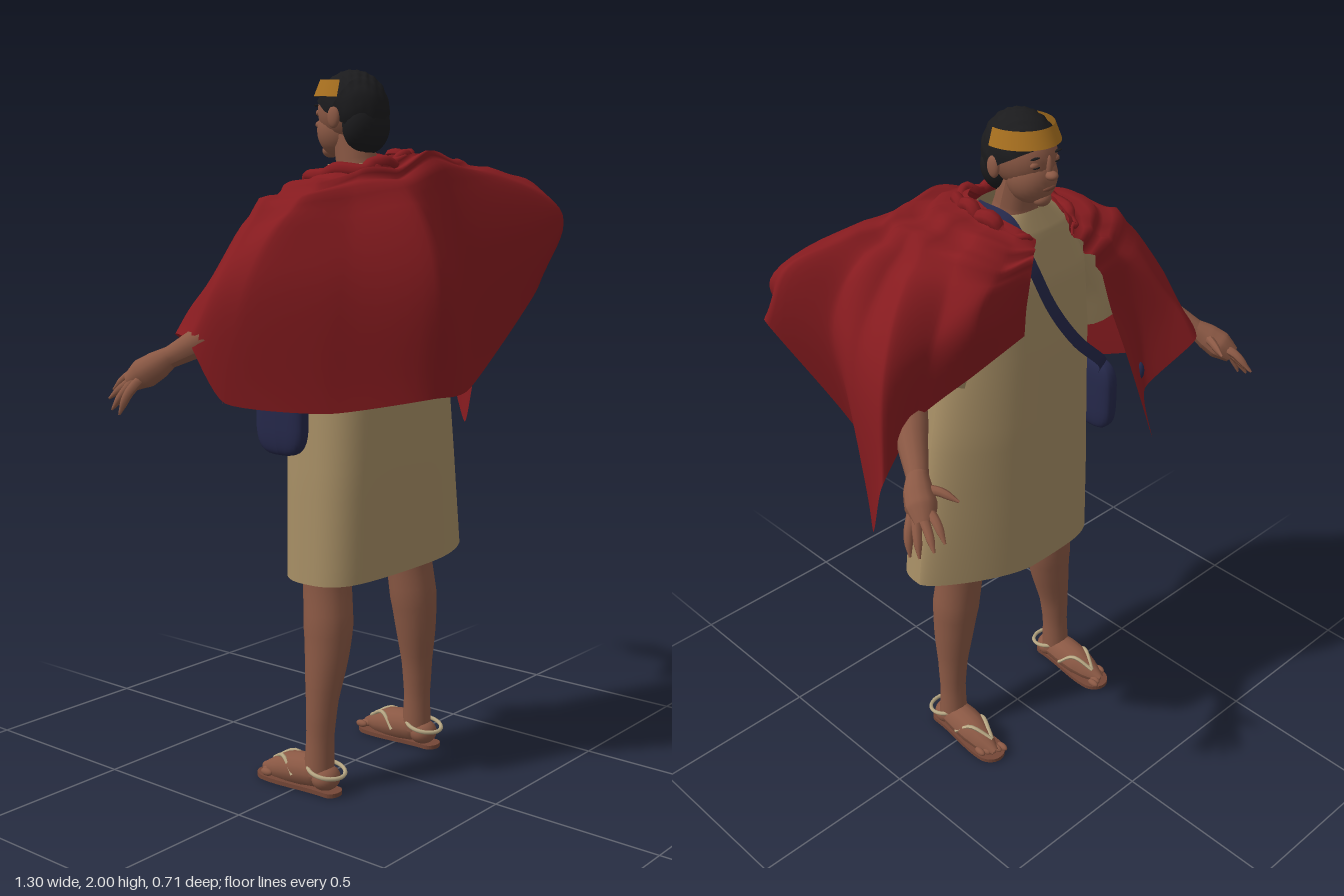
import * as THREE from 'three';

const flat = (name, color, twoSided) => {
  const m = new THREE.MeshStandardMaterial({ color });
  m.name = name;
  if (twoSided) m.side = THREE.DoubleSide;
  return m;
};
const V = (p) => new THREE.Vector3(...p);
const lerpList = (list, t) => {
  const f = Math.min(t, 0.99999) * (list.length - 1), i = Math.floor(f);
  return THREE.MathUtils.lerp(list[i], list[i + 1], f - i);
};

// Tube through points whose radius follows a list
function taperTube(points, radii, seg = 20, sides = 12) {
  const curve = new THREE.CatmullRomCurve3(points.map(V));
  const g = new THREE.TubeGeometry(curve, seg, 1, sides);
  const pos = g.attributes.position, v = new THREE.Vector3();
  for (let i = 0; i < pos.count; i++) {
    const t = Math.floor(i / (sides + 1)) / seg, c = curve.getPointAt(t);
    v.fromBufferAttribute(pos, i).sub(c).multiplyScalar(lerpList(radii, t)).add(c);
    pos.setXYZ(i, v.x, v.y, v.z);
  }
  g.computeVertexNormals();
  return g;
}

// Grid surface from a function of (u, v)
function surface(nu, nv, fn) {
  const pos = [], idx = [];
  for (let j = 0; j <= nv; j++) for (let i = 0; i <= nu; i++) pos.push(...fn(i / nu, j / nv));
  for (let j = 0; j < nv; j++) for (let i = 0; i < nu; i++) {
    const a = j * (nu + 1) + i, b = a + nu + 1;
    idx.push(a, b, a + 1, a + 1, b, b + 1);
  }
  const g = new THREE.BufferGeometry();
  g.setAttribute('position', new THREE.Float32BufferAttribute(pos, 3));
  g.setIndex(idx);
  g.computeVertexNormals();
  return g;
}

export function createModel() {
  const root = new THREE.Group();
  root.name = 'cloakedFigure';
  const skin = flat('skin', 0x8a5844), red = flat('redCloth', 0x861b1f, true);
  const tan = flat('tanCloth', 0xa58d64, true), black = flat('blackHair', 0x1b1b1d, true);
  const gold = flat('goldBand', 0xa8701f, true), navy = flat('navyLeather', 0x25284a, true);
  const brown = flat('brownSole', 0x744636), beige = flat('beigeStrap', 0xb8a884);
  const add = (name, geo, mat, parent = root) => {
    const m = new THREE.Mesh(geo, mat);
    m.name = name;
    parent.add(m);
    return m;
  };
  const ball = (name, mat, p, s, parent = root) => {
    const m = add(name, new THREE.SphereGeometry(1, 24, 18), mat, parent);
    m.position.set(...p);
    m.scale.set(...s);
    return m;
  };

  // Tunic: rings of [y, centre x, half width, centre z, half depth]
  const rings = [[0.62, 0.03, 0.312, 0.055, 0.155], [0.9, 0.02, 0.287, 0.05, 0.16], [1.1, 0.015, 0.267, 0.045, 0.162],
    [1.35, 0, 0.24, 0.04, 0.16], [1.55, 0, 0.22, 0.035, 0.15], [1.68, 0, 0.17, 0.03, 0.115], [1.74, 0, 0.085, 0.02, 0.08]];
  add('tunic', surface(72, 36, (u, v) => {
    const a = u * Math.PI * 2, c = Math.cos(a), s = Math.sin(a);
    const [y, cx, rx, cz, rz] = [0, 1, 2, 3, 4].map((k) => lerpList(rings.map((r) => r[k]), v));
    const fold = 1 + 0.02 * (1 - v) * Math.sin(a * 5 + 1);
    const p = c > 0 && s < 0 ? 0.75 + 0.65 * (1 - v) : 0.73;
    return [cx + rx * Math.sign(c) * Math.abs(c) ** p, y + 0.015 * c * (1 - v),
      cz + rz * fold * Math.sign(s) * Math.abs(s) ** p];
  }), tan);

  // Sleeves, arms, hands, legs and sandals, mirrored
  for (const side of [1, -1]) {
    const tag = side > 0 ? 'left' : 'right';
    const M = (pts) => pts.map(([x, y, z]) => [x * side, y, z]);
    add(tag + 'Sleeve', taperTube(M([[0.13, 1.62, 0.03], [0.23, 1.49, 0.03], [0.32, 1.34, 0.0]]), [0.1, 0.1, 0.095], 12, 20), tan);
    add(tag + 'Arm', taperTube(M([[0.17, 1.6, 0.03], [0.28, 1.46, 0.03], [0.385, 1.36, 0], [0.465, 1.3, -0.09], [0.54, 1.23, -0.2]]),
      [0.07, 0.06, 0.05, 0.046, 0.028]), skin);
    const hand = new THREE.Group();
    hand.name = tag + 'Hand';
    root.add(hand);
    add('palm', taperTube(M([[0.532, 1.24, -0.19], [0.56, 1.21, -0.225], [0.58, 1.185, -0.26], [0.595, 1.165, -0.285]]),
      [0.027, 0.038, 0.042, 0.026]), skin, hand);
    const fingers = [[[0.55, 1.215, -0.225], [0.528, 1.22, -0.265], [0.508, 1.205, -0.318]],
      [[0.573, 1.19, -0.27], [0.58, 1.18, -0.31], [0.592, 1.14, -0.357]],
      [[0.588, 1.18, -0.27], [0.603, 1.15, -0.31], [0.618, 1.12, -0.345]],
      [[0.6, 1.175, -0.26], [0.62, 1.14, -0.285], [0.638, 1.095, -0.312]],
      [[0.6, 1.175, -0.245], [0.627, 1.14, -0.26], [0.642, 1.085, -0.28]]];
    fingers.forEach((f, i) => add('finger' + i, taperTube(M(f), [0.015, 0.013, 0.011, 0.003], 10, 8), skin, hand));

    // Leg with knee and calf
    const ankle = side > 0 ? 0.222 : 0.235;
    add(tag + 'Leg', taperTube(M([[0.17, 0.9, 0.04], [0.185, 0.62, 0.05], [0.2, 0.44, 0.065], [ankle - 0.007, 0.25, 0.065], [ankle, 0.05, 0.06]]),
      [0.09, 0.082, 0.074, 0.068, 0.07, 0.06, 0.046, 0.039, 0.044], 28, 18), skin);
    // Foot, toes and sandal
    const foot = new THREE.Group();
    foot.name = tag + 'FootAndSandal';
    foot.position.x = side * ankle;
    root.add(foot);
    add('foot', taperTube([[0, 0.045, 0.11], [0, 0.052, 0.05], [side * 0.002, 0.044, -0.03], [side * 0.006, 0.03, -0.09], [side * 0.008, 0.022, -0.14]],
      [0.014, 0.044, 0.048, 0.046, 0.034, 0.012], 18, 14), skin, foot);
    ball('heel', skin, [0, 0.042, 0.085], [0.044, 0.036, 0.04], foot);
    for (let t = 0; t < 5; t++)
      ball('toe' + t, skin, [side * (t * 0.016 - 0.024), 0.022, -0.136 + t * 0.008], [0.01, 0.011, 0.02], foot);
    const sole = new THREE.Shape();
    sole.moveTo(-0.032, -0.11);
    sole.bezierCurveTo(-0.03, -0.145, 0.03, -0.145, 0.032, -0.11);
    sole.bezierCurveTo(0.03, -0.02, 0.055, 0.05, 0.045, 0.12);
    sole.bezierCurveTo(0.03, 0.17, -0.03, 0.17, -0.045, 0.12);
    sole.bezierCurveTo(-0.055, 0.05, -0.03, -0.02, -0.032, -0.11);
    const s = add('sandalSole', new THREE.ExtrudeGeometry(sole, { depth: 0.012, bevelEnabled: false }), brown, foot);
    s.rotation.x = -Math.PI / 2;
    s.position.x = side * 0.004;
    const ring = add('heelStrap', new THREE.TorusGeometry(0.053, 0.006, 6, 28), beige, foot);
    ring.rotation.x = Math.PI / 2 + 0.2;
    ring.position.set(0, 0.066, 0.088);
    for (const k of [-1, 1])
      add('toeStrap', taperTube([[k * 0.046, 0.04, 0], [k * 0.028, 0.08, -0.05], [-side * 0.004, 0.05, -0.112]], [0.006, 0.006], 10, 6), beige, foot);
  }

  // Cloak: four rows from neck to hem, swept from the left chest round the back
  const neck = [[0.06, 1.7, -0.13], [0.09, 1.73, -0.1], [0.11, 1.75, -0.04], [0.11, 1.76, 0], [0.11, 1.77, 0.03], [0.11, 1.77, 0.06], [0.1, 1.77, 0.08], [0.07, 1.77, 0.1],
    [0.03, 1.76, 0.11], [-0.02, 1.75, 0.12], [-0.07, 1.74, 0.1], [-0.1, 1.73, 0.05], [-0.1, 1.73, -0.02], [-0.1, 1.71, -0.07], [-0.09, 1.7, -0.1], [-0.07, 1.68, -0.12]];
  const shoulder = [[0.12, 1.68, -0.18], [0.22, 1.68, -0.16], [0.28, 1.7, -0.08], [0.32, 1.71, 0], [0.34, 1.72, 0.06], [0.35, 1.72, 0.11], [0.34, 1.73, 0.15], [0.27, 1.74, 0.2],
    [0.14, 1.75, 0.17], [-0.04, 1.7, 0.19], [-0.17, 1.69, 0.14], [-0.29, 1.645, 0.06], [-0.32, 1.635, -0.05], [-0.26, 1.62, -0.12], [-0.2, 1.6, -0.15], [-0.14, 1.58, -0.16]];
  const chest = [[0.14, 1.57, -0.18], [0.3, 1.56, -0.17], [0.4, 1.53, -0.11], [0.53, 1.5, -0.08], [0.53, 1.5, 0.03], [0.53, 1.58, 0.12], [0.58, 1.68, 0.21], [0.55, 1.6, 0.335],
    [0.2, 1.47, 0.235], [-0.06, 1.47, 0.33], [-0.27, 1.45, 0.18], [-0.44, 1.46, 0.01], [-0.475, 1.42, -0.08], [-0.39, 1.41, -0.22], [-0.27, 1.4, -0.19], [-0.18, 1.4, -0.19]];
  const hem = [[0.13, 1.46, -0.16], [0.29, 1.4, -0.14], [0.45, 1.32, -0.1], [0.585, 1.18, -0.11], [0.53, 0.95, 0.01], [0.485, 1.2, 0.1], [0.65, 1.55, 0.24], [0.46, 1.38, 0.31],
    [0.21, 1.11, 0.25], [-0.08, 1.12, 0.335], [-0.31, 1.09, 0.16], [-0.49, 1.12, -0.04], [-0.53, 1.28, -0.13], [-0.43, 1.28, -0.28], [-0.29, 1.15, -0.22], [-0.22, 1.06, -0.315]];
  const rows = [neck, shoulder, chest, hem].map((r) => new THREE.CatmullRomCurve3(r.map(V), false, 'catmullrom', 0.28));
  const drape = (u, v) => new THREE.CatmullRomCurve3(rows.map((r) => r.getPoint(u))).getPoint(v);
  add('cloak', surface(120, 28, (u, v) => {
    const p = drape(u, v), w = Math.sin(v * Math.PI), top = Math.max(0, 1 - v * 2.2) * w;
    const ripple = 0.006 * w * Math.sin(u * 60 + v * 5) + 0.025 * top * Math.sin(v * 40 + u * 9);
    const out = Math.hypot(p.x, p.z) || 1;
    return [p.x + ripple * p.x / out, p.y + ripple + 0.005 * w * Math.sin(u * 45 - v * 14), p.z + ripple * p.z / out];
  }), red);
  // Bunched collar
  const collar = [];
  for (let i = 0; i <= 28; i++) {
    const p = drape(i / 28, 0.04);
    collar.push([p.x, p.y + 0.01 * Math.sin(i * 1.9) - 0.005, p.z + 0.008 * Math.cos(i * 2.3)]);
  }
  add('collarFold', taperTube(collar, [0.004, 0.022, 0.016, 0.012, 0.022, 0.022, 0.004], 90, 8), red);

  // Shoulder bag, strap and buckle
  const bag = ball('bag', navy, [-0.278, 1.07, -0.03], [0.03, 0.115, 0.085]);
  const bp = bag.geometry.attributes.position;
  const square = (t) => Math.sign(t) * Math.abs(t) ** 0.6;
  for (let i = 0; i < bp.count; i++) bp.setXYZ(i, square(bp.getX(i)), square(bp.getY(i)), square(bp.getZ(i)));
  bag.geometry.computeVertexNormals();
  const strapLine = new THREE.CatmullRomCurve3([[0.1, 1.75, 0.05], [0.085, 1.73, -0.06], [0.06, 1.62, -0.115], [0, 1.48, -0.134],
    [-0.09, 1.35, -0.14], [-0.2, 1.24, -0.133], [-0.27, 1.16, -0.07]].map(V));
  add('bagStrap', surface(40, 1, (u, v) => {
    const p = strapLine.getPoint(u), d = (v - 0.5) * 0.034;
    return [p.x + d * 0.8, p.y - d * 0.6, p.z];
  }), navy);
  ball('strapBuckle', navy, [-0.275, 1.21, -0.21], [0.012, 0.028, 0.014]);

  // Head, neck and face
  const head = new THREE.Group();
  head.name = 'head';
  head.position.x = -0.005;
  root.add(head);
  add('neck', taperTube([[0, 1.66, 0.02], [0, 1.74, 0.01], [0, 1.82, -0.01]], [0.075, 0.058, 0.055]), skin, head);
  ball('skull', skin, [0, 1.885, -0.016], [0.08, 0.09, 0.095], head);
  ball('jaw', skin, [0, 1.832, -0.046], [0.066, 0.074, 0.07], head);
  ball('chin', skin, [0, 1.778, -0.085], [0.026, 0.02, 0.022], head);
  ball('nose', skin, [0, 1.85, -0.118], [0.016, 0.012, 0.019], head);
  ball('noseBridge', skin, [0, 1.872, -0.108], [0.009, 0.03, 0.011], head);
  ball('lips', brown, [0, 1.814, -0.11], [0.022, 0.007, 0.008], head);
  for (const k of [-1, 1]) {
    ball('ear', skin, [k * 0.089, 1.865, 0.0], [0.011, 0.03, 0.02], head);
    ball('eyelid', skin, [k * 0.034, 1.88, -0.094], [0.016, 0.01, 0.01], head);
    ball('lashes', black, [k * 0.034, 1.875, -0.1], [0.013, 0.003, 0.005], head);
    ball('brow', black, [k * 0.036, 1.9, -0.099], [0.019, 0.003, 0.005], head);
  }
  // Hair cap tilted to the back, tousled by a small wave
  const cap = new THREE.SphereGeometry(1, 36, 24, 0, Math.PI * 2, 0, Math.PI * 0.55);
  const cp = cap.attributes.position;
  for (let i = 0; i < cp.count; i++) {
    const x = cp.getX(i), y = cp.getY(i), z = cp.getZ(i);
    const k = 1 + 0.025 * Math.sin(x * 17) * Math.sin(z * 19 + y * 11);
    cp.setXYZ(i, x * k, y * k, z * k);
  }
  cap.rotateX(0.52);
  cap.scale(0.093, 0.108, 0.105);
  cap.computeVertexNormals();
  add('hair', cap, black, head).position.set(0, 1.886, -0.005);
  ball('napeHair', black, [0, 1.845, 0.042], [0.08, 0.08, 0.056], head);

  // Headband hugging the brow
  const band = add('headband', new THREE.CylinderGeometry(0.08, 0.094, 0.045, 40, 1, true, Math.PI / 2 - 0.2, Math.PI + 0.4), gold, head);
  band.scale.z = 1.2;
  band.rotation.x = 0.06;
  band.position.set(0, 1.942, -0.007);
  return root;
}
